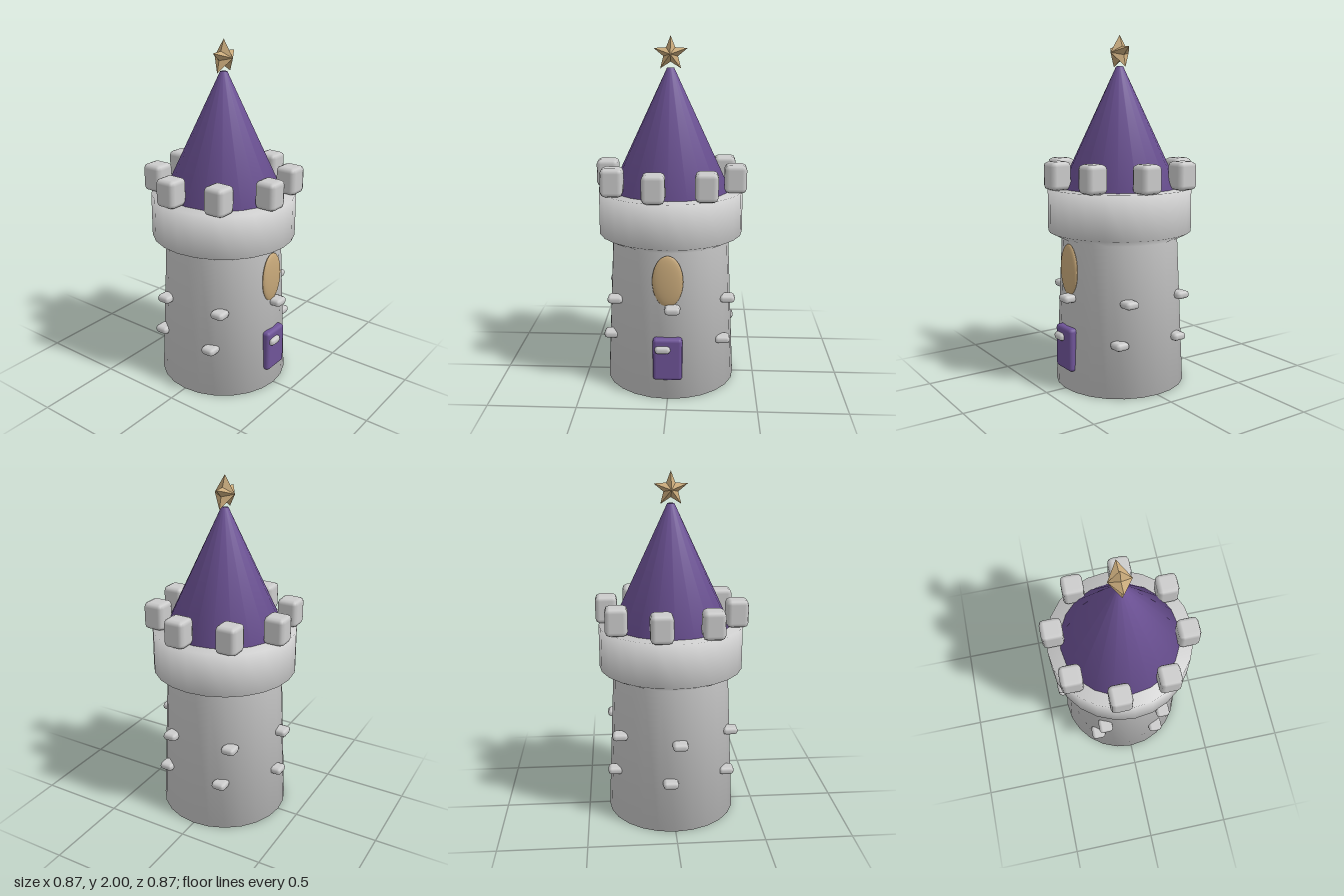
import * as THREE from 'three';
import { RoundedBoxGeometry } from 'three/addons/geometries/RoundedBoxGeometry.js';

const stone = new THREE.MeshStandardMaterial({ color: 0xcccccc });
const purple = new THREE.MeshStandardMaterial({ color: 0x6f5499 });
const gold = new THREE.MeshStandardMaterial({ color: 0xc8a97a });
const goldFacets = new THREE.MeshStandardMaterial({ color: 0xc8a97a, flatShading: true });

function add(parent, name, geometry, material, x = 0, y = 0, z = 0) {
  const mesh = new THREE.Mesh(geometry, material);
  mesh.name = name;
  mesh.position.set(x, y, z);
  parent.add(mesh);
  return mesh;
}

// Smooth turned solid from [radius, height] pairs, bottom to top
function turned(profile, sides) {
  return new THREE.LatheGeometry(profile.map(([r, y]) => new THREE.Vector2(r, y)), sides);
}

// Copies of one block spread around the axis, all kept square to x and z
function ringOfBlocks(parent, name, geometry, count, radius, y, startAngle) {
  for (let i = 0; i < count; i++) {
    const a = startAngle + (i * Math.PI * 2) / count;
    add(parent, name, geometry, stone, radius * Math.cos(a), y, radius * Math.sin(a));
  }
}

// Five-pointed star with a peak at the front and at the back
function starGeometry(outer, inner, depth) {
  const rim = [];
  for (let i = 0; i < 10; i++) {
    const a = Math.PI / 2 + (i * Math.PI) / 5;
    const r = i % 2 ? inner : outer;
    rim.push([r * Math.cos(a), r * Math.sin(a), 0]);
  }
  const corners = [];
  for (let i = 0; i < 10; i++) {
    const p = rim[i], q = rim[(i + 1) % 10];
    corners.push(...p, ...q, 0, 0, depth, ...q, ...p, 0, 0, -depth);
  }
  const geometry = new THREE.BufferGeometry();
  geometry.setAttribute('position', new THREE.Float32BufferAttribute(corners, 3));
  geometry.computeVertexNormals();
  return geometry;
}

export function createModel() {
  const tower = new THREE.Group();
  tower.name = 'tower';

  // Tapered wall flaring into the parapet
  add(tower, 'wall', turned(
    [[0, 0], [0.377, 0], [0.338, 0.85], [0.416, 0.89], [0.416, 1.14], [0, 1.14]], 24), stone);

  // Battlements
  ringOfBlocks(tower, 'merlon', new RoundedBoxGeometry(0.125, 0.16, 0.125, 1, 0.027),
    8, 0.378, 1.218, 0.2);

  // Protruding stones in two staggered rows
  const brick = new RoundedBoxGeometry(0.088, 0.045, 0.084, 1, 0.02);
  ringOfBlocks(tower, 'upperStone', brick, 6, 0.37, 0.535, 1.5);
  ringOfBlocks(tower, 'lowerStone', brick, 6, 0.372, 0.305, 0.597);

  // Conical roof with a small flat tip
  add(tower, 'roof', turned([[0, 1.13], [0.345, 1.13], [0.02, 1.825], [0, 1.825]], 20), purple);
  add(tower, 'star', starGeometry(0.099, 0.043, 0.062), goldFacets, 0, 1.901, 0);

  // Door and oval window on the front
  add(tower, 'door', new RoundedBoxGeometry(0.165, 0.25, 0.06, 2, 0.02), purple, 0, 0.242, 0.361);
  add(tower, 'window', new THREE.SphereGeometry(1, 24, 16), gold, 0, 0.69, 0.344)
    .scale.set(0.086, 0.148, 0.022);

  return tower;
}
